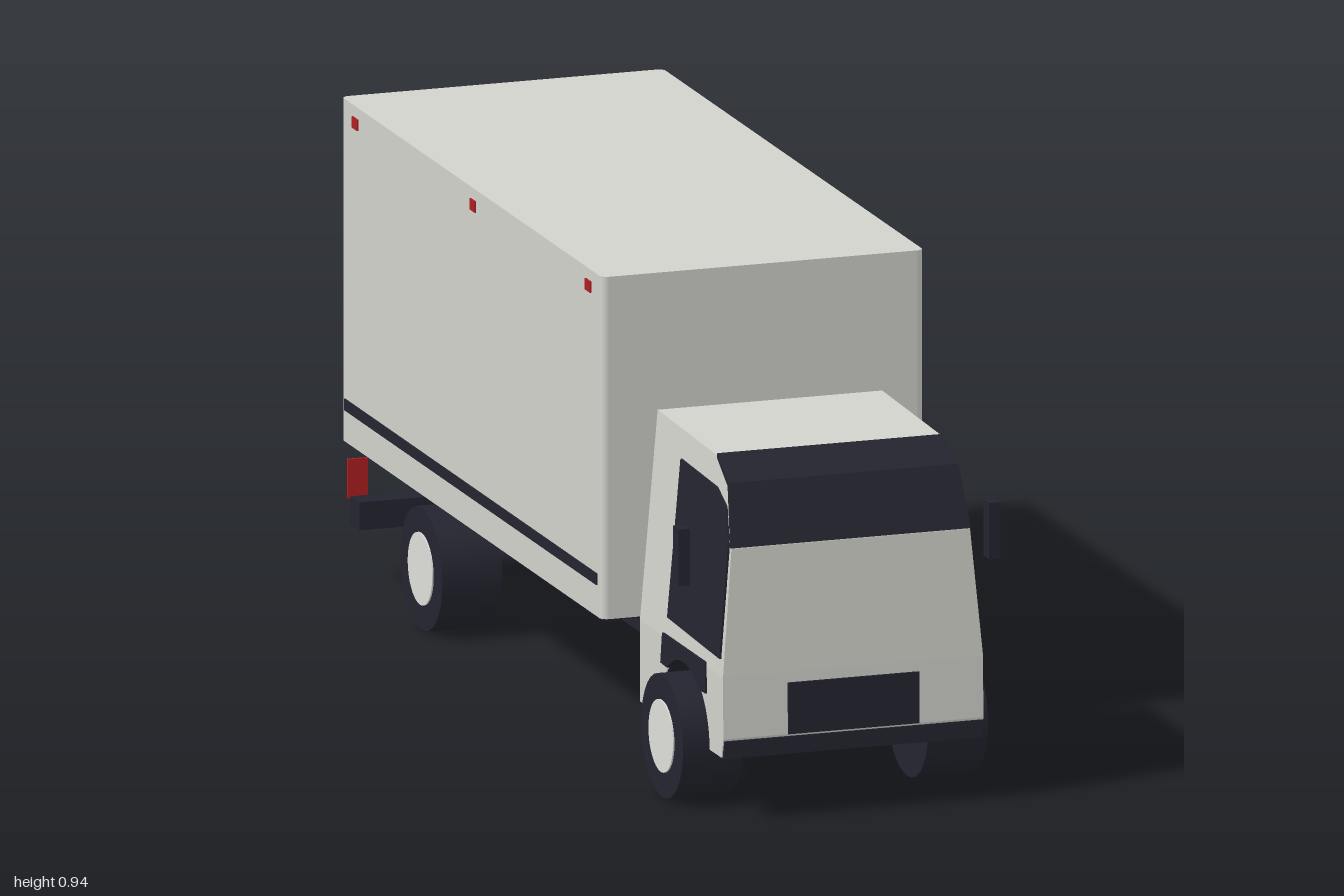
import * as THREE from 'three';

const paint = (name, color) => {
  const m = new THREE.MeshStandardMaterial({ color });
  m.name = name;
  return m;
};

export function createModel() {
  const truck = new THREE.Group();
  truck.name = 'boxTruck';
  const body = paint('bodyGrey', 0xd2d2cc);
  const dark = paint('darkNavy', 0x242430);
  const red = paint('markerRed', 0xb01e22);
  const hubGrey = paint('hubGrey', 0xdededa);

  const add = (name, geometry, material) => {
    const mesh = new THREE.Mesh(geometry, material);
    mesh.name = name;
    truck.add(mesh);
    return mesh;
  };

  // Box given by its limits on each axis
  const block = (name, mat, x0, x1, y0, y1, z0, z1) =>
    add(name, new THREE.BoxGeometry(x1 - x0, y1 - y0, z1 - z0), mat)
      .position.set((x0 + x1) / 2, (y0 + y1) / 2, (z0 + z1) / 2);

  // Side profile in (z, y), spread across x between lo(y) and hi(y)
  const prism = (name, mat, shape, lo, hi) => {
    const g = new THREE.ExtrudeGeometry(shape, { depth: 1, bevelEnabled: false, curveSegments: 20 });
    g.rotateY(-Math.PI / 2);
    const p = g.attributes.position;
    for (let i = 0; i < p.count; i++) {
      const y = p.getY(i);
      p.setX(i, THREE.MathUtils.lerp(lo(y), hi(y), p.getX(i) + 1));
    }
    g.computeVertexNormals();
    return add(name, g, mat);
  };
  const poly = (pts) => new THREE.Shape(pts.map(([z, y]) => new THREE.Vector2(z, y)));

  // Thin side panel on both sides, following the cab's taper
  const sidePanels = (name, mat, shape, inset, proud) => {
    prism(name + 'Left', mat, shape, (y) => half(y) - inset, (y) => half(y) + proud);
    prism(name + 'Right', mat, shape, (y) => -half(y) - proud, (y) => -half(y) + inset);
  };

  // Half width of the cab at a height
  const half = (y) => 0.26 - 0.035 * Math.max(0, (y - 0.28) / 0.4);
  const wheelZ = 0.78, wheelY = 0.119, archR = 0.142;

  // Cab: lower body with wheel arch, tapering upper body
  const lower = new THREE.Shape();
  lower.moveTo(0.99, 0.122);
  lower.lineTo(1.0, 0.16);
  lower.lineTo(0.998, 0.28);
  lower.lineTo(0.525, 0.28);
  lower.lineTo(0.525, 0.122);
  lower.lineTo(wheelZ - archR, 0.122);
  lower.absarc(wheelZ, wheelY, archR, Math.PI - 0.02, 0.02, true);
  prism('cabLower', body, lower, (y) => -half(y), half);
  prism('cabUpper', body, poly([
    [0.998, 0.28], [0.985, 0.525], [0.942, 0.64], [0.87, 0.678], [0.525, 0.686], [0.525, 0.28],
  ]), (y) => -half(y), half);

  // Windscreen wrapped over the bend of the cab front
  prism('windscreen', dark, poly([
    [0.98, 0.525], [0.988, 0.527], [0.945, 0.643], [0.868, 0.683], [0.868, 0.674], [0.938, 0.636],
  ]), (y) => -half(y) - 0.001, (y) => half(y) + 0.001);

  // Side windows and dark fenders
  sidePanels('sideWindow', dark, poly([
    [0.98, 0.312], [0.975, 0.53], [0.945, 0.598], [0.885, 0.622], [0.68, 0.628], [0.68, 0.322],
  ]), 0.003, 0.004);
  const fender = new THREE.Shape();
  const a = Math.asin((0.228 - wheelY) / archR);
  fender.moveTo(0.908, 0.228);
  fender.lineTo(0.903, 0.288);
  fender.lineTo(0.66, 0.288);
  fender.lineTo(0.652, 0.228);
  fender.absarc(wheelZ, wheelY, archR - 0.002, Math.PI - a, a, true);
  sidePanels('fender', dark, fender, 0.004, 0.004);

  // Wheel arch liner across the cab
  const liner = new THREE.CylinderGeometry(archR - 0.001, archR - 0.001, 0.516, 24, 1, true, Math.PI / 2, Math.PI);
  liner.rotateZ(Math.PI / 2);
  const linerMat = paint('archLiner', 0x242430);
  linerMat.side = THREE.DoubleSide;
  // keep the arc above the axle
  const lp = liner.attributes.position;
  for (let i = 0; i < lp.count; i++) {
    const t = Math.PI * (i % 25) / 24;
    lp.setY(i, Math.sin(t) * (archR - 0.001));
    lp.setZ(i, Math.cos(t) * (archR - 0.001));
  }
  liner.computeVertexNormals();
  add('archLiner', liner, linerMat).position.set(0, wheelY, wheelZ);

  // Grille and front bumper strip
  block('grille', dark, -0.131, 0.131, 0.16, 0.26, 0.995, 1.003);
  block('frontBumper', dark, -0.258, 0.258, 0.122, 0.156, 0.985, 1.002);

  // Cargo box with softened vertical edges
  const x = 0.322, z0 = -0.998, z1 = 0.485, r = 0.014;
  const plan = new THREE.Shape();
  plan.absarc(x - r, -z0 - r, r, 0, Math.PI / 2);
  plan.absarc(-x + r, -z0 - r, r, Math.PI / 2, Math.PI);
  plan.absarc(-x + r, -z1 + r, r, Math.PI, Math.PI * 1.5);
  plan.absarc(x - r, -z1 + r, r, Math.PI * 1.5, Math.PI * 2);
  const cargo = new THREE.ExtrudeGeometry(plan, { depth: 0.666, bevelEnabled: false, curveSegments: 4 });
  cargo.rotateX(-Math.PI / 2);
  add('cargoBox', cargo, body).position.y = 0.276;
  block('cargoFloor', dark, -0.318, 0.318, 0.272, 0.278, -0.99, 0.478);

  // Rear shutter grooves
  for (let i = 0; i < 8; i++) {
    const y = 0.842 - i * 0.069;
    block('shutterGroove', dark, -0.293, 0.293, y - 0.003, y + 0.003, -1.0, -0.994);
  }

  for (const s of [-1, 1]) {
    const side = (name, mat, a0, a1, ...rest) =>
      block(name, mat, Math.min(s * a0, s * a1), Math.max(s * a0, s * a1), ...rest);

    // Cargo side stripe and red markers
    side('sideStripe', dark, 0.319, 0.325, 0.338, 0.36, -0.975, 0.46);
    for (const z of [0.41, -0.245, -0.915])
      side('sideMarker', red, 0.319, 0.325, 0.898, 0.92, z - 0.015, z + 0.015);

    // Mirrors and chassis rails
    side('mirror', dark, 0.299, 0.322, 0.445, 0.555, 0.89, 0.922);
    side('chassisRail', dark, 0.08, 0.12, 0.15, 0.218, -0.965, 0.6);

    // Wheels with flat hubs
    for (const z of [wheelZ, -0.59]) {
      const tyre = new THREE.CylinderGeometry(0.119, 0.119, 0.12, 32).rotateZ(Math.PI / 2);
      add('tyre', tyre, dark).position.set(s * 0.245, wheelY, z);
      const hub = new THREE.CylinderGeometry(0.07, 0.07, 0.008, 32).rotateZ(Math.PI / 2);
      add('hub', hub, hubGrey).position.set(s * 0.304, wheelY, z);
    }
  }

  // Chassis cross members and axles
  for (const z of [0.505, -0.2, -0.935])
    block('crossMember', dark, -0.12, 0.12, 0.152, 0.216, z - 0.03, z + 0.03);
  block('frontAxle', dark, -0.19, 0.19, 0.11, 0.19, 0.71, 0.85);
  add('rearAxle', new THREE.CylinderGeometry(0.025, 0.025, 0.4, 16).rotateZ(Math.PI / 2), dark)
    .position.set(0, wheelY + 0.01, -0.59);

  // Fuel tank on the left, rear bumper and tail lights
  block('fuelTank', dark, 0.12, 0.27, 0.12, 0.236, 0.03, 0.29);
  block('rearBumper', dark, -0.305, 0.305, 0.11, 0.164, -0.998, -0.942);
  block('tailLightRight', red, -0.31, -0.27, 0.16, 0.236, -1.0, -0.994);
  block('tailLightLeft', red, 0.262, 0.302, 0.16, 0.236, -1.0, -0.994);

  return truck;
}
